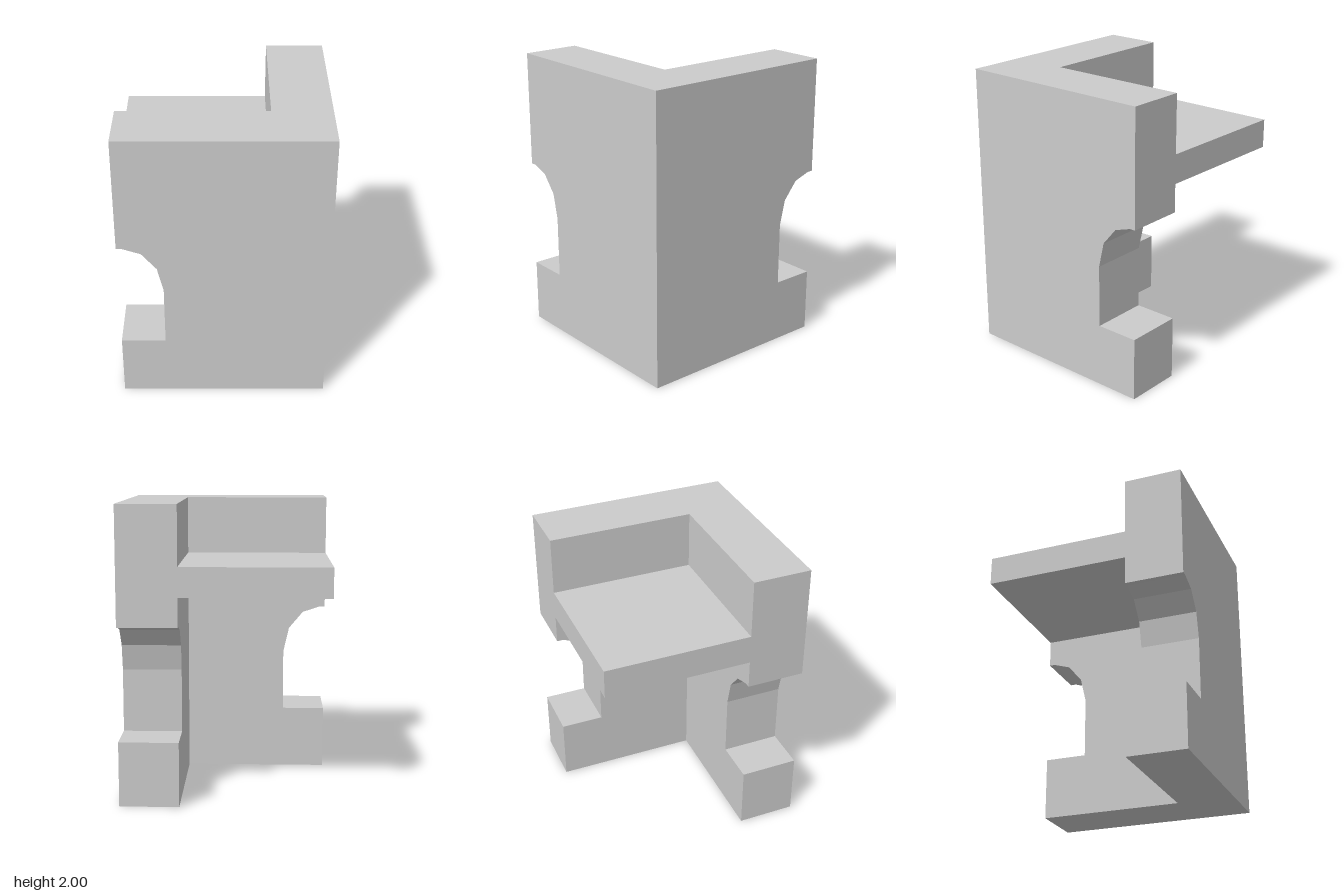
import * as THREE from 'three';

const HALF = 0.7, HEIGHT = 2, THICK = 0.4;
const INNER = HALF - THICK;

// Wall outline with a half-arched opening at its free end; the other end is at x = end
function wallGeometry(end) {
  const shape = new THREE.Shape([
    [-HALF, 0], [end, 0], [end, HEIGHT], [-HALF, HEIGHT],
    [-HALF, 1.205], [-0.66, 1.205], [-0.54, 1.165], [-0.44, 1.045], [-0.4, 0.87],
    [-0.4, 0.44], [-HALF, 0.44],
  ].map(([x, y]) => new THREE.Vector2(x, y)));
  return new THREE.ExtrudeGeometry(shape, { depth: THICK, bevelEnabled: false });
}

export function createModel() {
  const group = new THREE.Group();
  group.name = 'cornerWall';
  const material = new THREE.MeshStandardMaterial({ color: 0xcccccc, flatShading: true });
  const add = (name, geometry) => {
    const mesh = new THREE.Mesh(geometry, material);
    mesh.name = name;
    group.add(mesh);
    return mesh;
  };

  // Front wall spans the full width
  add('frontWall', wallGeometry(HALF)).position.z = INNER;

  // Side wall butts against the back of the front wall
  const side = add('sideWall', wallGeometry(INNER));
  side.rotation.y = -Math.PI / 2;
  side.position.x = HALF;

  // Floor slab fills the inner corner, flush with the free wall ends
  const span = INNER + HALF;
  const centre = (INNER - HALF) / 2;
  add('floorSlab', new THREE.BoxGeometry(span, 0.2, span)).position.set(centre, 1.5, centre);

  return group;
}
